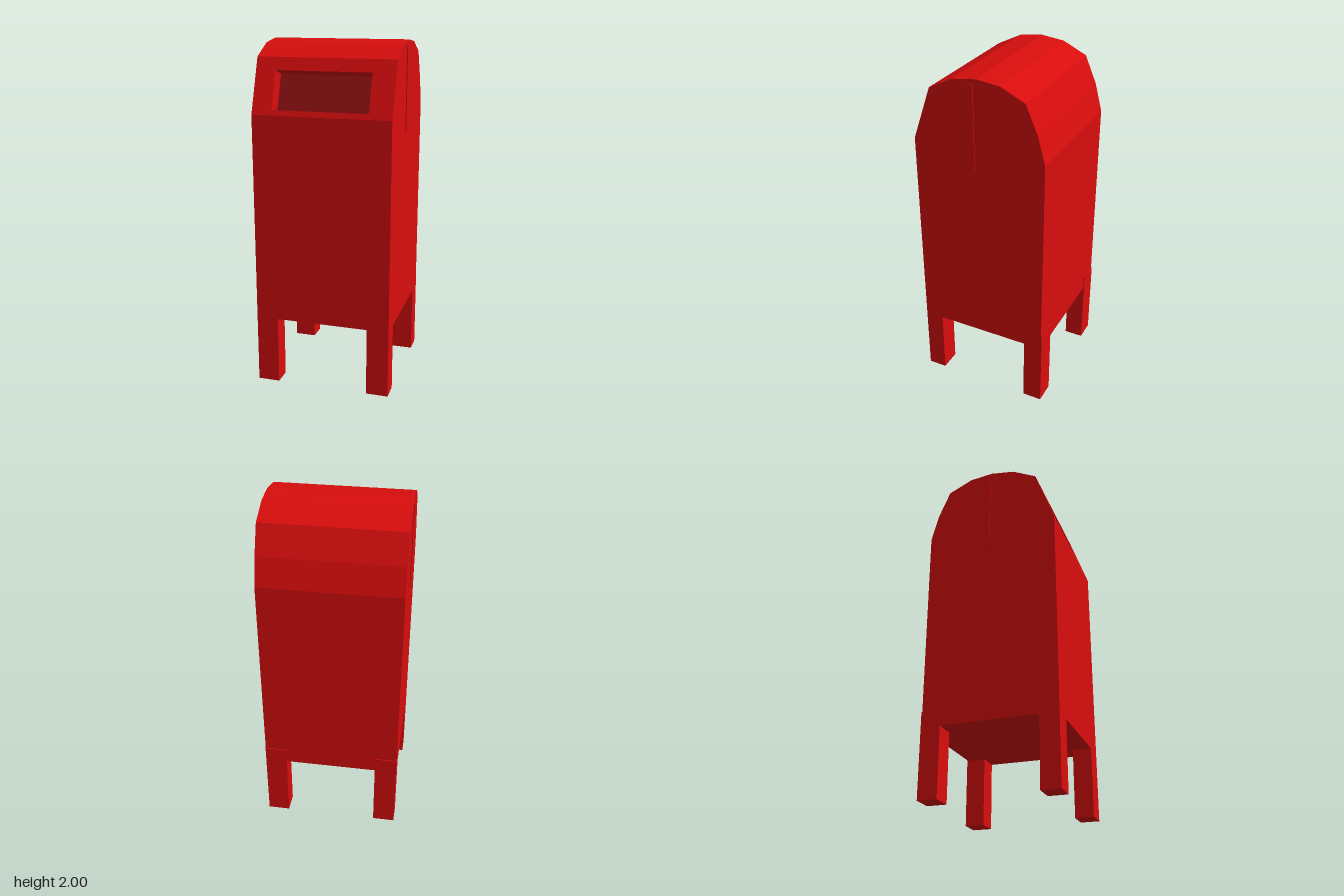
import * as THREE from 'three';

const red = new THREE.MeshStandardMaterial({ name: 'post red', color: 0xd90d0d, flatShading: true });
const darkRed = new THREE.MeshStandardMaterial({ name: 'dark red', color: 0x8c1012, flatShading: true });

// Side outline as [z, y], from the front foot over the top to the back
const frontWall = [[0.39, 0.4], [0.39, 1.6]];
const roof = [[0.28, 1.91], [0.14, 1.98], [0, 2], [-0.135, 1.985], [-0.275, 1.92],
  [-0.345, 1.76], [-0.388, 1.6], [-0.388, 0.4]];
// Slot cut square into the sloping front face
const slot = [[0.38, 1.63], [0.295, 1.6], [0.22, 1.81], [0.305, 1.84]];

// Extrudes a side outline across the model from x0 to x1
function slab(name, outline, x0, x1) {
  const shape = new THREE.Shape(outline.map(([z, y]) => new THREE.Vector2(-z, y)));
  const geo = new THREE.ExtrudeGeometry(shape, { depth: x1 - x0, bevelEnabled: false });
  geo.rotateY(Math.PI / 2).translate(x0, 0, 0);
  const mesh = new THREE.Mesh(geo, red);
  mesh.name = name;
  return mesh;
}

// Box given by its lower and upper corners
function block(name, a, b) {
  const size = b.map((v, i) => v - a[i]);
  const mesh = new THREE.Mesh(new THREE.BoxGeometry(...size), red);
  mesh.position.set(...a.map((v, i) => v + size[i] / 2));
  mesh.name = name;
  return mesh;
}

export function createModel() {
  const model = new THREE.Group();
  model.name = 'mailbox';

  // Body in three slabs, the middle one holding the slot
  const body = new THREE.Group();
  body.name = 'body';
  const solid = [...frontWall, ...roof];
  body.add(
    slab('bodyRight', solid, -0.398, -0.283),
    slab('bodyMiddle', [...frontWall, ...slot, ...roof], -0.283, 0.268),
    slab('bodyLeft', solid, 0.268, 0.398),
  );
  model.add(body);

  // Dark panel at the back of the slot
  const panel = new THREE.Mesh(new THREE.BoxGeometry(0.55, 0.222, 0.006), darkRed);
  panel.name = 'slotPanel';
  panel.position.set(-0.0075, 1.705, 0.2575);
  panel.rotation.x = -Math.atan2(0.075, 0.21);
  model.add(panel);

  // Four legs; the back pair has plates reaching up the rear wall
  for (const side of [-1, 1]) {
    const x0 = side < 0 ? -0.398 : 0.27;
    const x1 = x0 + 0.128;
    model.add(
      block('frontLeg', [x0, 0, 0.28], [x1, 0.4, 0.39]),
      block('backLeg', [x0, 0, -0.393], [x1, 0.4, -0.28]),
      block('backLegPlate', [x0, 0.4, -0.393], [x1, 0.49, -0.386]),
    );
  }

  // Thin upright strips on both sides
  model.add(
    block('leftStrip', [0.396, 1.48, 0.02], [0.403, 1.97, 0.053]),
    block('rightStrip', [-0.403, 1.48, -0.04], [-0.396, 1.97, -0.008]),
  );
  return model;
}
